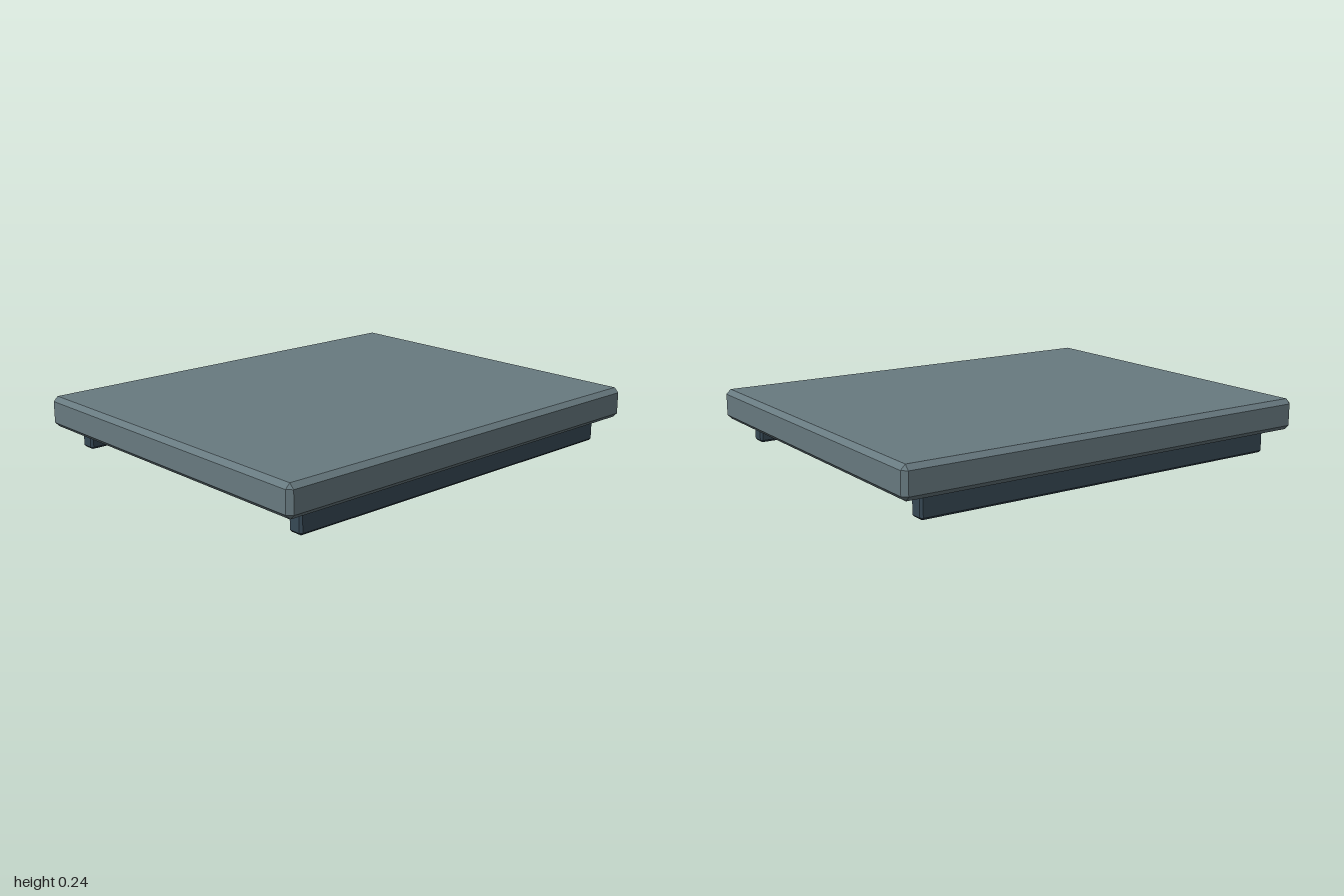
import * as THREE from 'three';
import { ConvexGeometry } from 'three/addons/geometries/ConvexGeometry.js';

// Box with every edge cut flat by c: three inset points at each corner
function chamferedBox(w, h, d, c) {
  const points = [];
  for (const x of [-1, 1]) for (const y of [-1, 1]) for (const z of [-1, 1]) {
    for (const [a, b, e] of [[0, c, c], [c, 0, c], [c, c, 0]]) {
      points.push(new THREE.Vector3(x * (w / 2 - a), y * (h / 2 - b), z * (d / 2 - e)));
    }
  }
  return new ConvexGeometry(points);
}

export function createModel() {
  const group = new THREE.Group();
  group.name = 'platform';
  const slabMaterial = new THREE.MeshStandardMaterial({ color: 0x687a80, flatShading: true });
  const railMaterial = new THREE.MeshStandardMaterial({ color: 0x374955, flatShading: true });

  // Top slab
  const slab = new THREE.Mesh(chamferedBox(2, 0.14, 1.64, 0.021), slabMaterial);
  slab.name = 'slab';
  slab.position.y = 0.174;
  group.add(slab);

  // Two support rails, set slightly into the slab
  const railGeometry = chamferedBox(1.78, 0.123, 0.072, 0.01);
  for (const [name, side] of [['frontRail', 1], ['backRail', -1]]) {
    const rail = new THREE.Mesh(railGeometry, railMaterial);
    rail.name = name;
    rail.position.set(0, 0.0615, side * 0.717);
    group.add(rail);
  }
  return group;
}
